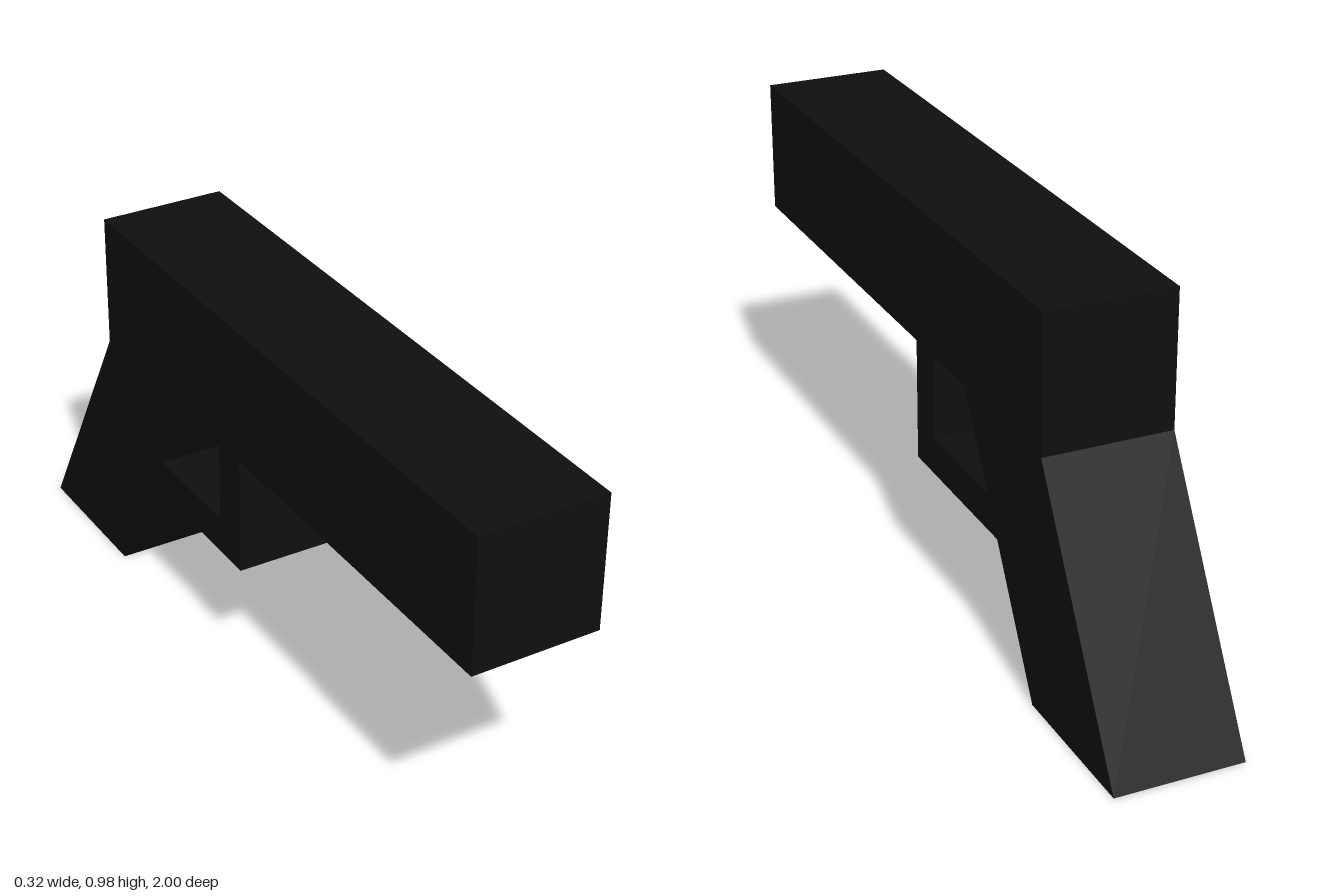
import * as THREE from 'three';

const WIDTH = 0.322;

export function createModel() {
  const group = new THREE.Group();
  group.name = 'pistol';
  const black = new THREE.MeshStandardMaterial({ color: 0x0f0f0f });
  black.name = 'matte black';

  // Extrudes a side profile of [z, y] points across the full width.
  function addPart(name, profile) {
    const shape = new THREE.Shape(profile.map(([z, y]) => new THREE.Vector2(z, y)));
    const geometry = new THREE.ExtrudeGeometry(shape, { depth: WIDTH, bevelEnabled: false });
    geometry.translate(0, 0, -WIDTH / 2);
    geometry.rotateY(-Math.PI / 2);
    const mesh = new THREE.Mesh(geometry, black);
    mesh.name = name;
    group.add(mesh);
  }

  // Long barrel block
  addPart('slide', [[-0.635, 0.638], [1, 0.638], [1, 0.977], [-0.635, 0.977]]);

  // Grip slanting down and back
  addPart('grip', [[-1, 0], [-0.604, 0], [-0.239, 0.638], [-0.635, 0.638]]);

  // L-shaped guard, its rear end cut to the slope of the grip
  addPart('triggerGuard', [
    [-0.415, 0.33], [0.036, 0.33], [0.036, 0.638],
    [-0.062, 0.638], [-0.062, 0.423], [-0.362, 0.423],
  ]);

  return group;
}
